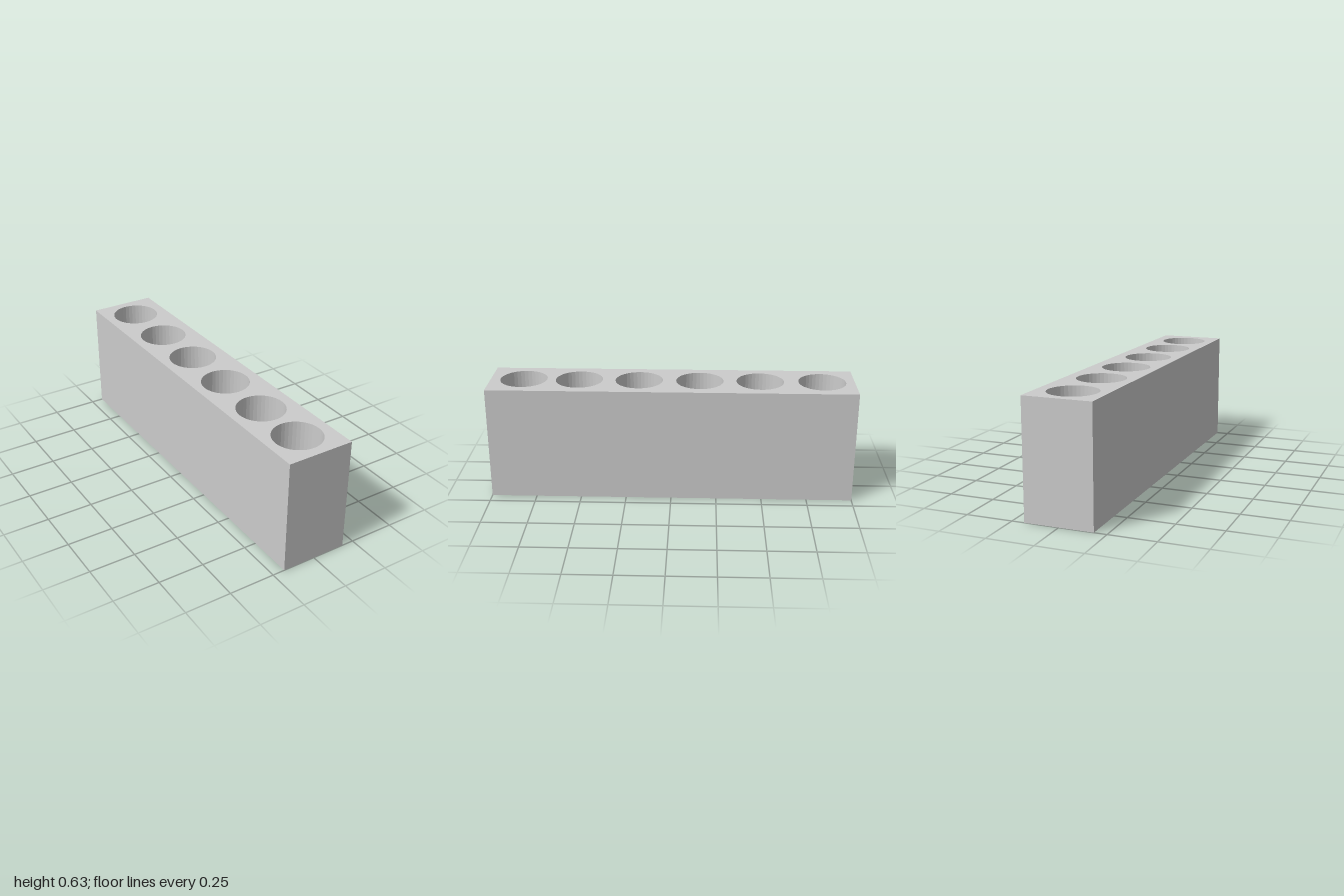
import * as THREE from 'three';

const WIDTH = 0.366, HEIGHT = 0.627, LENGTH = 2;
const HOLE_RADIUS = 0.13, HOLE_X = -0.003;
const HOLE_Z = [-0.822, -0.484, -0.153, 0.18, 0.51, 0.817];

export function createModel() {
  const group = new THREE.Group();
  group.name = 'holderBlock';

  // Plan outline, drawn with shape y = -z
  const w = WIDTH / 2, l = LENGTH / 2;
  const plan = new THREE.Shape([
    new THREE.Vector2(-w, -l), new THREE.Vector2(w, -l),
    new THREE.Vector2(w, l), new THREE.Vector2(-w, l),
  ]);

  // Row of round through-holes
  for (const z of HOLE_Z) {
    plan.holes.push(new THREE.Path().absarc(HOLE_X, -z, HOLE_RADIUS, 0, Math.PI * 2, true));
  }

  // Block with faceted bores, stood upright
  const geometry = new THREE.ExtrudeGeometry(plan, {
    depth: HEIGHT, bevelEnabled: false, curveSegments: 20,
  });
  geometry.rotateX(-Math.PI / 2);

  const block = new THREE.Mesh(
    geometry,
    new THREE.MeshStandardMaterial({ color: 0xcccccc, flatShading: true }),
  );
  block.name = 'blockWithHoles';
  group.add(block);
  return group;
}
